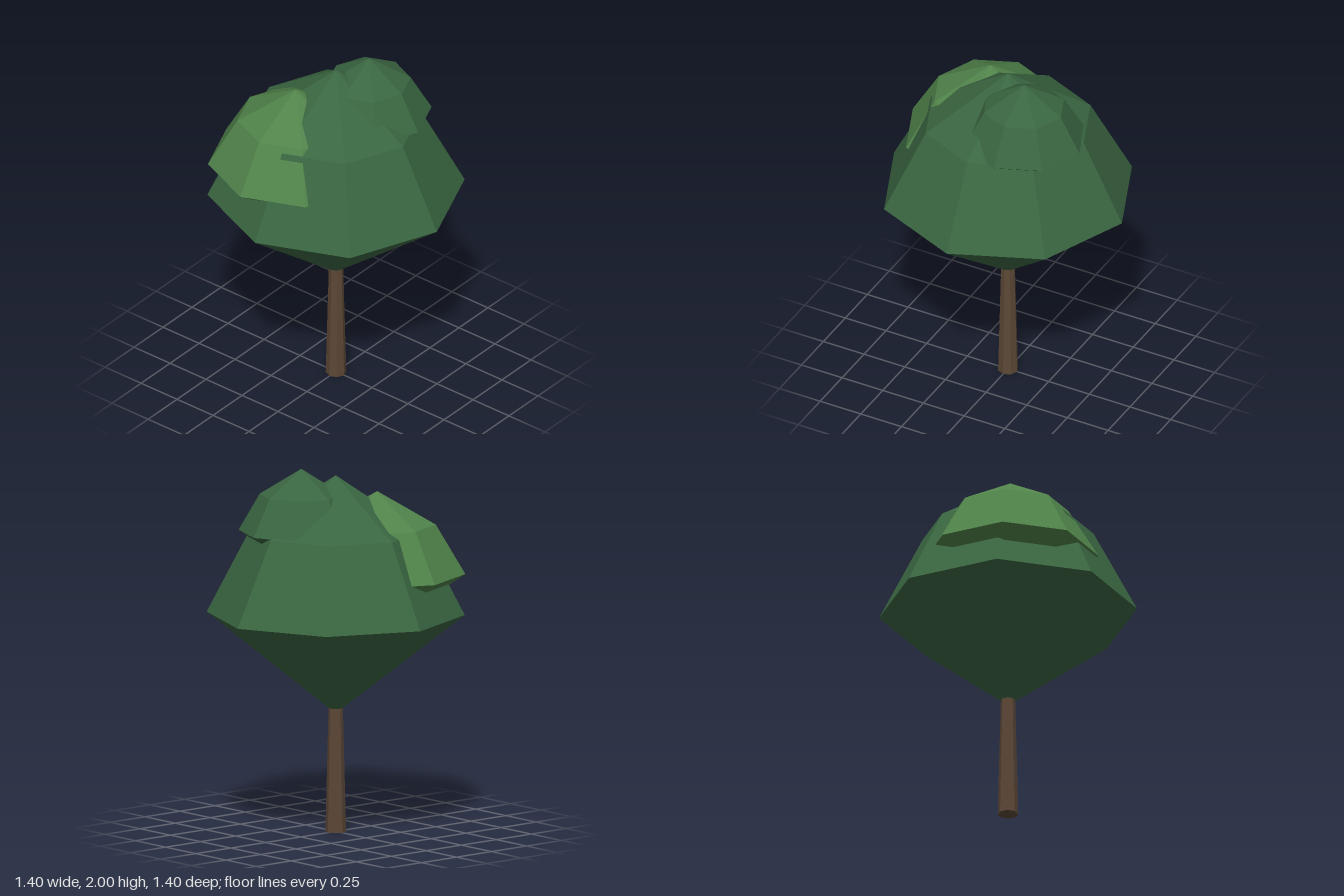
import * as THREE from 'three';

const SIDES = 8;

function flatMaterial(name, color) {
  const material = new THREE.MeshStandardMaterial({ color, flatShading: true });
  material.name = name;
  return material;
}

// Faceted leaf mass: pointed base, wide rim, shoulder ring, pointed top
function foliage(name, material, x, z, { base, rim, rimY, shoulder, shoulderY, top }) {
  const profile = [[0, base], [rim, rimY], [shoulder, shoulderY], [0, top]]
    .map(([r, y]) => new THREE.Vector2(r, y));
  const mesh = new THREE.Mesh(new THREE.LatheGeometry(profile, SIDES), material);
  mesh.name = name;
  mesh.position.set(x, 0, z);
  return mesh;
}

export function createModel() {
  const bark = flatMaterial('bark brown', 0x5c4836);
  const leaf = flatMaterial('leaf green', 0x3a6641);
  const lightLeaf = flatMaterial('light leaf green', 0x50834a);

  const tree = new THREE.Group();
  tree.name = 'tree';

  // Tapered trunk, running up into the crown
  const trunk = new THREE.Mesh(new THREE.CylinderGeometry(0.037, 0.056, 0.76, SIDES), bark);
  trunk.name = 'trunk';
  trunk.position.y = 0.38;
  tree.add(trunk);

  // Main crown and the two smaller clumps growing out of it
  tree.add(
    foliage('crown', leaf, 0, 0,
      { base: 0.65, rim: 0.7, rimY: 1.2, shoulder: 0.465, shoulderY: 1.655, top: 1.96 }),
    foliage('upperClump', leaf, 0.155, 0.105,
      { base: 1.42, rim: 0.34, rimY: 1.66, shoulder: 0.226, shoulderY: 1.86, top: 2 }),
    foliage('sideClump', lightLeaf, -0.18, -0.135,
      { base: 1.09, rim: 0.478, rimY: 1.42, shoulder: 0.318, shoulderY: 1.69, top: 1.87 }),
  );

  return tree;
}
